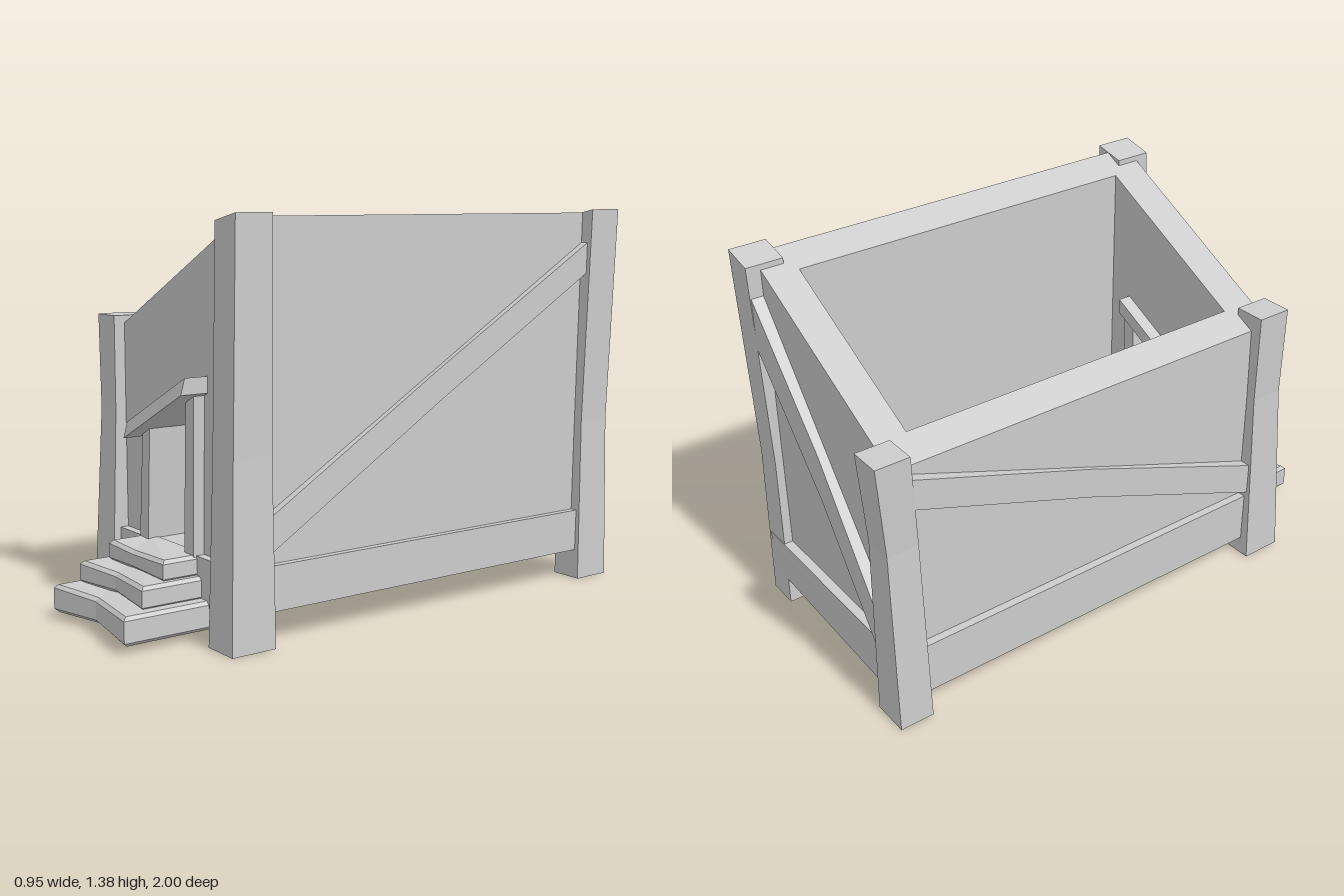
import * as THREE from 'three';

const material = new THREE.MeshStandardMaterial({ color: 0xcccccc, flatShading: true });
const lerp = THREE.MathUtils.lerp;

// Height of the sloping wall top
const roofLine = x => 1.16 + 0.507 * x;

export function createModel() {
  const model = new THREE.Group();

  const add = (name, geometry) => {
    const mesh = new THREE.Mesh(geometry, material);
    mesh.name = name;
    model.add(mesh);
    return mesh;
  };

  // Box whose unit coordinates (0..1) are mapped by a rule to positions
  const warpedBox = (name, segments, rule) => {
    let g = new THREE.BoxGeometry(1, 1, 1, ...segments);
    const p = g.attributes.position;
    for (let i = 0; i < p.count; i++) {
      p.setXYZ(i, ...rule(p.getX(i) + 0.5, p.getY(i) + 0.5, p.getZ(i) + 0.5));
    }
    g = g.toNonIndexed();
    g.computeVertexNormals();
    return add(name, g);
  };

  // Outline in x and y, pushed from z0 to z1
  const slab = (name, points, z0, z1, hole) => {
    const shape = new THREE.Shape(points.map(p => new THREE.Vector2(...p)));
    if (hole) shape.holes.push(new THREE.Path(hole.map(p => new THREE.Vector2(...p))));
    const g = new THREE.ExtrudeGeometry(shape, { depth: z1 - z0, bevelEnabled: false });
    g.translate(0, 0, z0);
    return add(name, g);
  };

  // Walls with a sloping open top
  const wallOutline = (x0, x1) => [[x0, 0.2], [x1, 0.2], [x1, roofLine(x1)], [x0, roofLine(x0)]];
  const doorway = [[-0.15, 0.24], [-0.125, 0.66], [0.16, 0.8], [0.145, 0.24]];
  slab('frontWall', wallOutline(-0.41, 0.41), 0.53, 0.66, doorway);
  slab('backWall', wallOutline(-0.41, 0.41), -0.92, -0.8);
  slab('leftWall', wallOutline(0.31, 0.41), -0.8, 0.53);
  slab('rightWall', wallOutline(-0.41, -0.31), -0.8, 0.53);

  // Solid base: floor inside, skirting outside
  warpedBox('base', [1, 1, 1], (u, v, w) => [
    lerp(-0.44, 0.435, u),
    v > 0.5 ? 0.26 : lerp(0.068, 0.108, u),
    lerp(-0.955, 0.69, w),
  ]);

  // Corner posts: cross-sections [y, x0, x1, z0, z1] from bottom to top, tilt lifts the outer edge
  const post = (name, rows, tilt = 0) =>
    warpedBox(name, [1, rows.length - 1, 1], (u, v, w) => {
      const i = Math.round(v * (rows.length - 1));
      const [y, x0, x1, z0, z1] = rows[i];
      const lift = i === rows.length - 1 ? tilt * (u - 1) : 0;
      return [lerp(x0, x1, u), y + lift, lerp(z0, z1, w)];
    });
  post('frontLeftPost', [
    [0, 0.335, 0.475, 0.58, 0.745],
    [0.62, 0.34, 0.46, 0.58, 0.725],
    [1.38, 0.345, 0.462, 0.573, 0.71],
  ], 0.025);
  post('backLeftPost', [
    [0, 0.335, 0.455, -0.955, -0.81],
    [0.6, 0.34, 0.445, -0.95, -0.82],
    [1.38, 0.345, 0.46, -0.972, -0.837],
  ], 0.025);
  post('frontRightPost', [
    [0, -0.478, -0.34, 0.57, 0.725],
    [0.68, -0.447, -0.34, 0.575, 0.7],
    [1.015, -0.455, -0.338, 0.57, 0.7],
  ]);
  post('backRightPost', [
    [0, -0.478, -0.34, -0.985, -0.86],
    [0.68, -0.447, -0.338, -0.975, -0.86],
    [1.015, -0.455, -0.337, -1, -0.875],
  ]);

  // Diagonal braces; outer face sinks a little in the middle
  const sink = t => 0.012 * (1 - Math.abs(2 * t - 1));
  warpedBox('leftBrace', [1, 1, 2], (u, v, w) => [
    u > 0.5 ? 0.44 - sink(w) : 0.38,
    lerp(lerp(1.155, 0.29, w), lerp(1.265, 0.41, w), v),
    lerp(-0.845, 0.59, w),
  ]);
  warpedBox('rightBrace', [1, 1, 2], (u, v, w) => [
    u < 0.5 ? -0.45 + 2 * sink(w) : -0.38,
    lerp(lerp(0.82, 0.28, w), lerp(0.93, 0.4, w), v),
    lerp(-0.88, 0.58, w),
  ]);
  warpedBox('backBrace', [2, 1, 1], (u, v, w) => [
    lerp(-0.345, 0.35, u),
    lerp(lerp(0.2, 1.07, u), lerp(0.37, 1.25, u), v),
    w < 0.5 ? -0.965 + sink(u) : -0.88,
  ]);

  // Leaning door frame
  slab('rightDoorJamb', [[-0.182, 0.25], [-0.125, 0.25], [-0.1, 0.68], [-0.15, 0.65]], 0.49, 0.7);
  slab('leftDoorJamb', [[0.115, 0.25], [0.175, 0.25], [0.19, 0.81], [0.138, 0.79]], 0.49, 0.7);
  warpedBox('doorLintel', [1, 1, 1], (u, v, w) => [
    lerp(-0.177, 0.21, u),
    lerp(0.61, 0.8, u) + 0.055 * v,
    w > 0.5 ? 0.76 - 0.015 * v : 0.48,
  ]);

  // Worn steps with chamfered edges: [x0, x1, y0, y1, front z, notch depth]
  const bevel = 0.012;
  const steps = [
    [-0.247, 0.25, 0.025, 0.122, 1.0, 0.05],
    [-0.227, 0.205, 0.115, 0.195, 0.91, 0.035],
    [-0.188, 0.18, 0.188, 0.262, 0.818, 0.008],
  ];
  steps.forEach(([x0, x1, y0, y1, front, notch], i) => {
    const a = x0 + bevel, b = x1 - bevel, f = front - bevel;
    const shape = new THREE.Shape([
      [a, -0.66], [a, -f], [-0.04, -f + notch], [b, -f], [b, -0.66],
    ].map(p => new THREE.Vector2(...p)));
    const g = new THREE.ExtrudeGeometry(shape, {
      depth: y1 - y0 - 2 * bevel, bevelSize: bevel, bevelThickness: bevel, bevelSegments: 1,
    });
    g.rotateX(-Math.PI / 2);
    g.scale(1, 1, 1).translate(0, y0 + bevel, 0);
    // Tread dips slightly where it is worn
    const p = g.attributes.position;
    for (let k = 0; k < p.count; k++) {
      if (Math.abs(p.getX(k) + 0.04) < 0.03 && p.getY(k) > (y0 + y1) / 2) p.setY(k, p.getY(k) - 0.01);
    }
    g.computeVertexNormals();
    add('step' + (i + 1), g);
  });

  return model;
}
